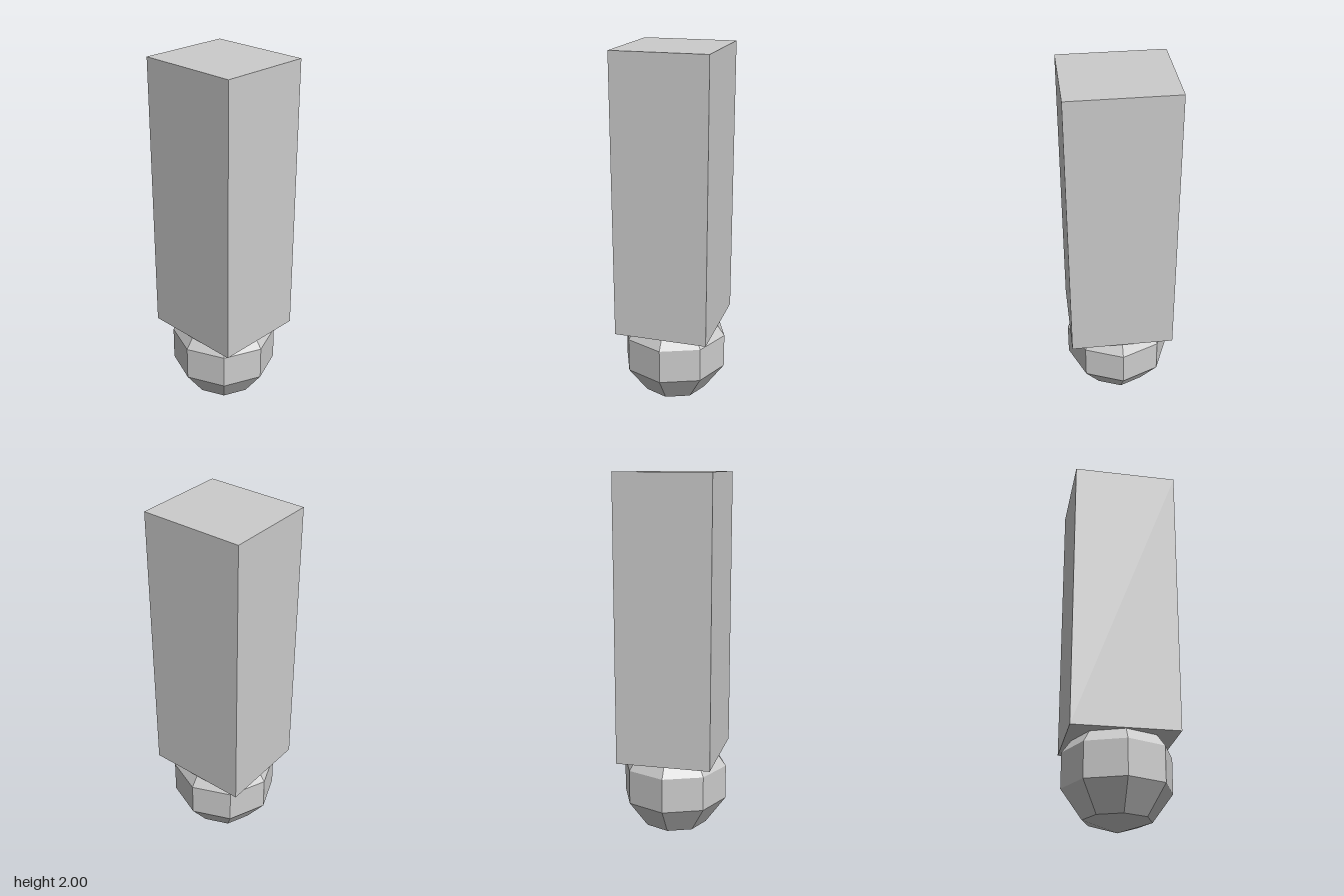
import * as THREE from 'three';

export function createModel() {
  const model = new THREE.Group();
  const material = new THREE.MeshStandardMaterial({ color: 0xcccccc, flatShading: true });

  const add = (name, geometry, y) => {
    const mesh = new THREE.Mesh(geometry, material);
    mesh.name = name;
    mesh.position.y = y;
    model.add(mesh);
  };

  // Low-poly ball at the foot, its top sunk into the block
  const radius = 0.307;
  add('ballTip', new THREE.SphereGeometry(radius, 8, 5), radius);

  // Tall rectangular block
  const bottom = 0.467, top = 2;
  add('block', new THREE.BoxGeometry(0.513, top - bottom, 0.566), (top + bottom) / 2);

  return model;
}
